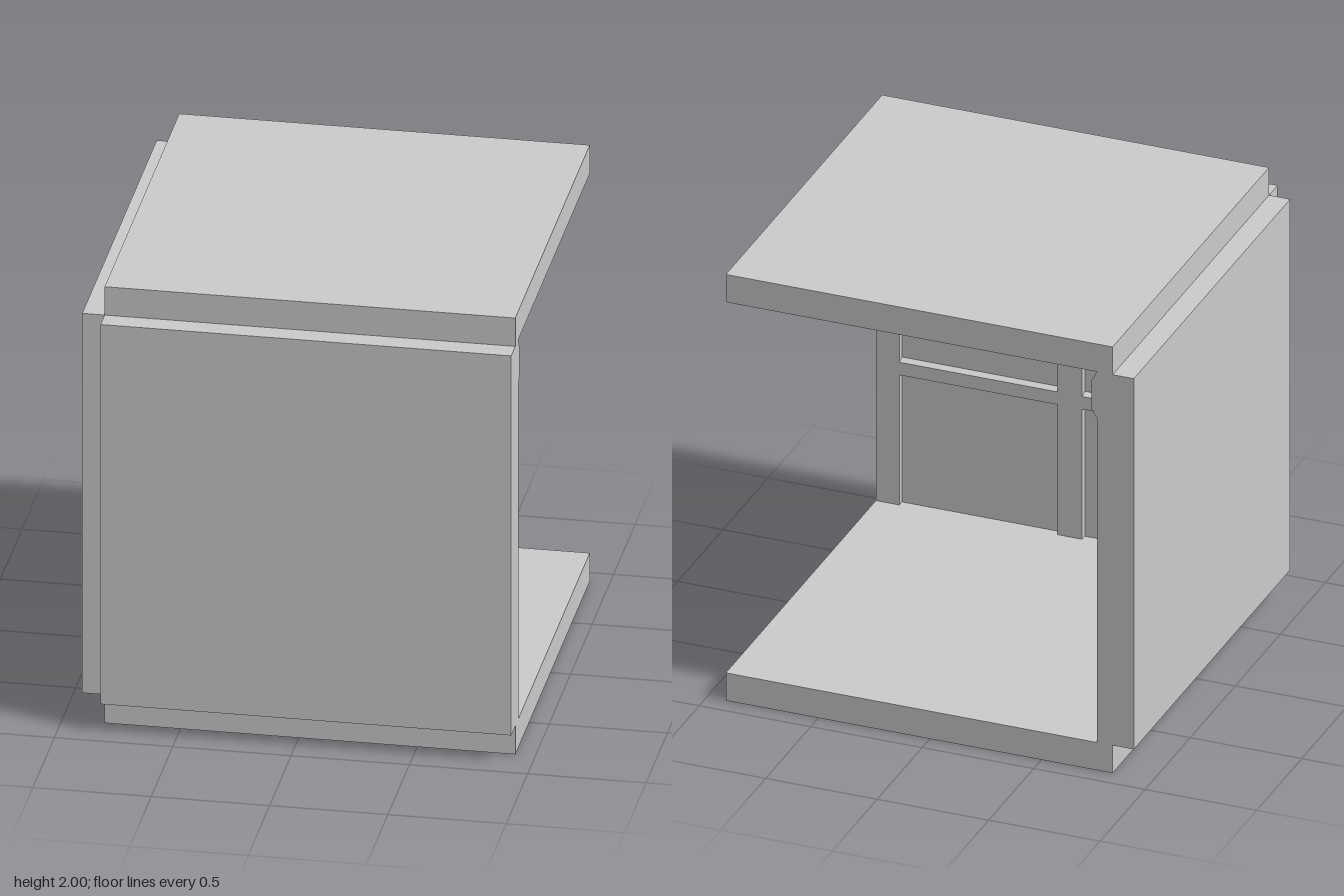
import * as THREE from 'three';

const OUT = 0.915;    // outer extent
const SLAB = 0.82;    // slab edge on the two walled sides
const FACE = 0.75;    // face of the wall framing
const PANEL = 0.78;   // face of the recessed panels
const Y0 = 0.13, Y1 = 1.87;

export function createModel() {
  const model = new THREE.Group();
  const material = new THREE.MeshStandardMaterial({ color: 0xcccccc, flatShading: true });

  function add(name, geometry) {
    const mesh = new THREE.Mesh(geometry, material);
    mesh.name = name;
    model.add(mesh);
  }

  function box(name, x0, x1, y0, y1, z0, z1) {
    const g = new THREE.BoxGeometry(x1 - x0, y1 - y0, z1 - z0);
    g.translate((x0 + x1) / 2, (y0 + y1) / 2, (z0 + z1) / 2);
    add(name, g);
  }

  // Sweeps a convex profile of [offset into room, y] along stations [x, z, offsetX, offsetZ]
  function sweep(name, profile, stations) {
    const rings = stations.map(([x, z, ox, oz]) =>
      profile.map(([o, y]) => [x + ox * o, y, z + oz * o]));
    const pos = [];
    const tri = (a, b, c) => pos.push(...a, ...b, ...c);
    const n = profile.length;
    for (let s = 0; s < rings.length - 1; s++) {
      for (let i = 0; i < n; i++) {
        const j = (i + 1) % n, A = rings[s], B = rings[s + 1];
        tri(A[i], B[i], B[j]);
        tri(A[i], B[j], A[j]);
      }
    }
    const first = rings[0], last = rings[rings.length - 1];
    for (let i = 1; i < n - 1; i++) {
      tri(first[0], first[i], first[i + 1]);
      tri(last[0], last[i + 1], last[i]);
    }
    const g = new THREE.BufferGeometry();
    g.setAttribute('position', new THREE.Float32BufferAttribute(pos, 3));
    g.computeVertexNormals();
    add(name, g);
  }

  // Points at distance t along each wall, and the mitred inner corner
  const onFront = (t) => [t, FACE, 0, -1];
  const onRight = (t) => [-FACE, -t, 1, 0];
  const corner = [-FACE, FACE, 1, -1];

  // Floor and ceiling
  box('floor', -SLAB, OUT, 0, Y0, -OUT, SLAB);
  box('ceiling', -SLAB, OUT, Y1, 2, -OUT, SLAB);

  // Two walls meeting at a notched outer corner
  box('frontWall', -SLAB, OUT, Y0, Y1, PANEL, OUT);
  box('rightWall', -OUT, -PANEL, Y0, Y1, -OUT, SLAB);

  // Upright stiles: one in the middle and one at the open end of each wall
  for (const [name, a, b] of [['Middle', -0.01, 0.1], ['End', 0.81, OUT]]) {
    box('front' + name + 'Stile', a, b, Y0, 1.65, FACE, PANEL);
    box('right' + name + 'Stile', -PANEL, -FACE, Y0, 1.65, -b, -a);
  }

  // Horizontal rails with chamfered edges
  const rail = [[-0.03, 0.73], [0, 0.74], [0, 0.8], [-0.03, 0.81]];
  sweep('cornerRail', rail, [onFront(-0.01), corner, onRight(-0.01)]);
  sweep('frontRail', rail, [onFront(0.81), onFront(0.1)]);
  sweep('rightRail', rail, [onRight(0.1), onRight(0.81)]);

  // Cornice under the ceiling, mitred at the corner
  const cornice = [[-0.03, 1.65], [0, 1.65], [0.025, 1.69], [0.025, 1.825], [0, Y1], [-0.03, Y1]];
  sweep('cornice', cornice, [onFront(OUT), corner, onRight(OUT)]);

  return model;
}
